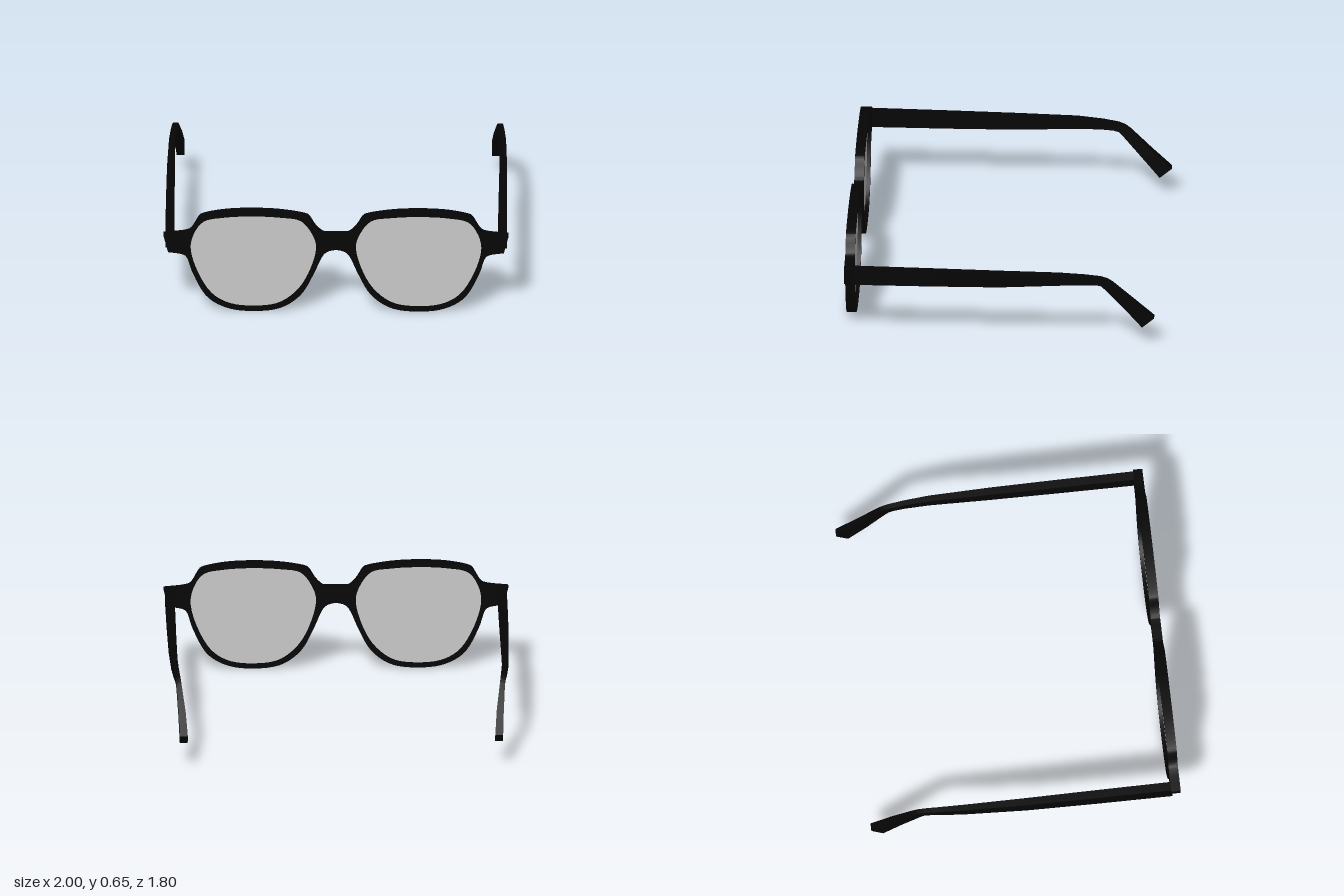
import * as THREE from 'three';
import { toCreasedNormals } from 'three/addons/utils/BufferGeometryUtils.js';

const black = new THREE.MeshStandardMaterial({ color: 0x050505 });
const grey = new THREE.MeshStandardMaterial({ color: 0xcccccc });

// Smooth 2D points through a few control points
function smooth(points, count, closed = false) {
  const curve = new THREE.CatmullRomCurve3(
    points.map(([x, y]) => new THREE.Vector3(x, y, 0)), closed, 'centripetal');
  const result = curve.getPoints(count).map(p => new THREE.Vector2(p.x, p.y));
  if (closed) result.pop();
  return result;
}

const mirror = points => points.map(p => new THREE.Vector2(-p.x, p.y)).reverse();

function extrude(shape, z, depth) {
  const geometry = new THREE.ExtrudeGeometry(shape, { depth, bevelEnabled: false });
  geometry.translate(0, 0, z);
  return toCreasedNormals(geometry, 0.6);
}

// Outline of one lens opening
const lensOutline = smooth([
  [0.115, 0.42], [0.14, 0.505], [0.205, 0.587], [0.32, 0.608], [0.49, 0.616], [0.65, 0.607],
  [0.765, 0.582], [0.82, 0.51], [0.843, 0.41], [0.81, 0.265], [0.72, 0.105], [0.62, 0.042],
  [0.48, 0.024], [0.33, 0.046], [0.215, 0.14], [0.14, 0.29],
], 72, true);

// Outer edge of half the front, from bridge top to bridge underside
const upperEdge = smooth([
  [0, 0.496], [0.06, 0.496], [0.075, 0.498], [0.115, 0.535], [0.158, 0.602], [0.175, 0.612], [0.32, 0.638],
  [0.49, 0.646], [0.65, 0.637], [0.77, 0.612], [0.79, 0.6], [0.843, 0.515], [0.875, 0.502], [1, 0.488],
], 60);
const lowerEdge = smooth([
  [1, 0.385], [0.885, 0.366], [0.865, 0.348], [0.83, 0.245], [0.745, 0.09], [0.63, 0.02],
  [0.48, 0], [0.32, 0.022], [0.205, 0.105], [0.13, 0.24], [0.085, 0.345], [0.065, 0.375],
  [0.04, 0.391], [0, 0.4],
], 60);

// Temple sections: top z, top y, bottom z, bottom y, inner x, outer x
const sections = [
  [0.85, 0.487, 0.85, 0.388, 0.938, 0.99],
  [0.4, 0.484, 0.4, 0.39, 0.939, 0.989],
  [0, 0.481, 0, 0.394, 0.941, 0.986],
  [-0.35, 0.479, -0.35, 0.411, 0.941, 0.977],
  [-0.5, 0.469, -0.49, 0.413, 0.936, 0.967],
  [-0.59, 0.457, -0.56, 0.411, 0.93, 0.959],
  [-0.63, 0.442, -0.59, 0.404, 0.926, 0.955],
  [-0.66, 0.42, -0.615, 0.38, 0.922, 0.952],
  [-0.78, 0.303, -0.725, 0.254, 0.902, 0.943],
  [-0.9, 0.19, -0.83, 0.128, 0.891, 0.937],
];

// Four-cornered loft along the temple, capped at both ends
function templeGeometry(side) {
  const positions = [], index = [];
  for (const [tz, ty, bz, by, inner, outer] of sections) {
    positions.push(side * inner, ty, tz, side * outer, ty, tz,
      side * outer, by, bz, side * inner, by, bz);
  }
  const quad = (a, b, c, d) =>
    index.push(...(side > 0 ? [a, b, c, a, c, d] : [a, c, b, a, d, c]));
  for (let i = 0; i < sections.length - 1; i++) {
    for (let j = 0; j < 4; j++) {
      const a = i * 4 + j, b = i * 4 + (j + 1) % 4;
      quad(a, b, b + 4, a + 4);
    }
  }
  const end = (sections.length - 1) * 4;
  quad(3, 2, 1, 0);
  quad(end, end + 1, end + 2, end + 3);
  const geometry = new THREE.BufferGeometry();
  geometry.setAttribute('position', new THREE.Float32BufferAttribute(positions, 3));
  geometry.setIndex(index);
  return toCreasedNormals(geometry, 0.6);
}

export function createModel() {
  const group = new THREE.Group();
  const add = (name, geometry, material) => {
    const mesh = new THREE.Mesh(geometry, material);
    mesh.name = name;
    group.add(mesh);
  };

  // Front frame, outlined counterclockwise, with both lens openings
  const half = [...upperEdge, ...lowerEdge.slice(1)];
  const front = new THREE.Shape([...half, ...mirror(half).slice(1, -1)].reverse());
  front.holes.push(new THREE.Path(lensOutline), new THREE.Path(mirror(lensOutline)));
  add('frontFrame', extrude(front, 0.843, 0.055), black);

  // Lenses and temples on both sides
  for (const [name, side] of [['left', 1], ['right', -1]]) {
    const outline = side > 0 ? lensOutline : mirror(lensOutline);
    add(name + 'Lens', extrude(new THREE.Shape(outline), 0.865, 0.01), grey);
    add(name + 'Temple', templeGeometry(side), black);
  }
  return group;
}
